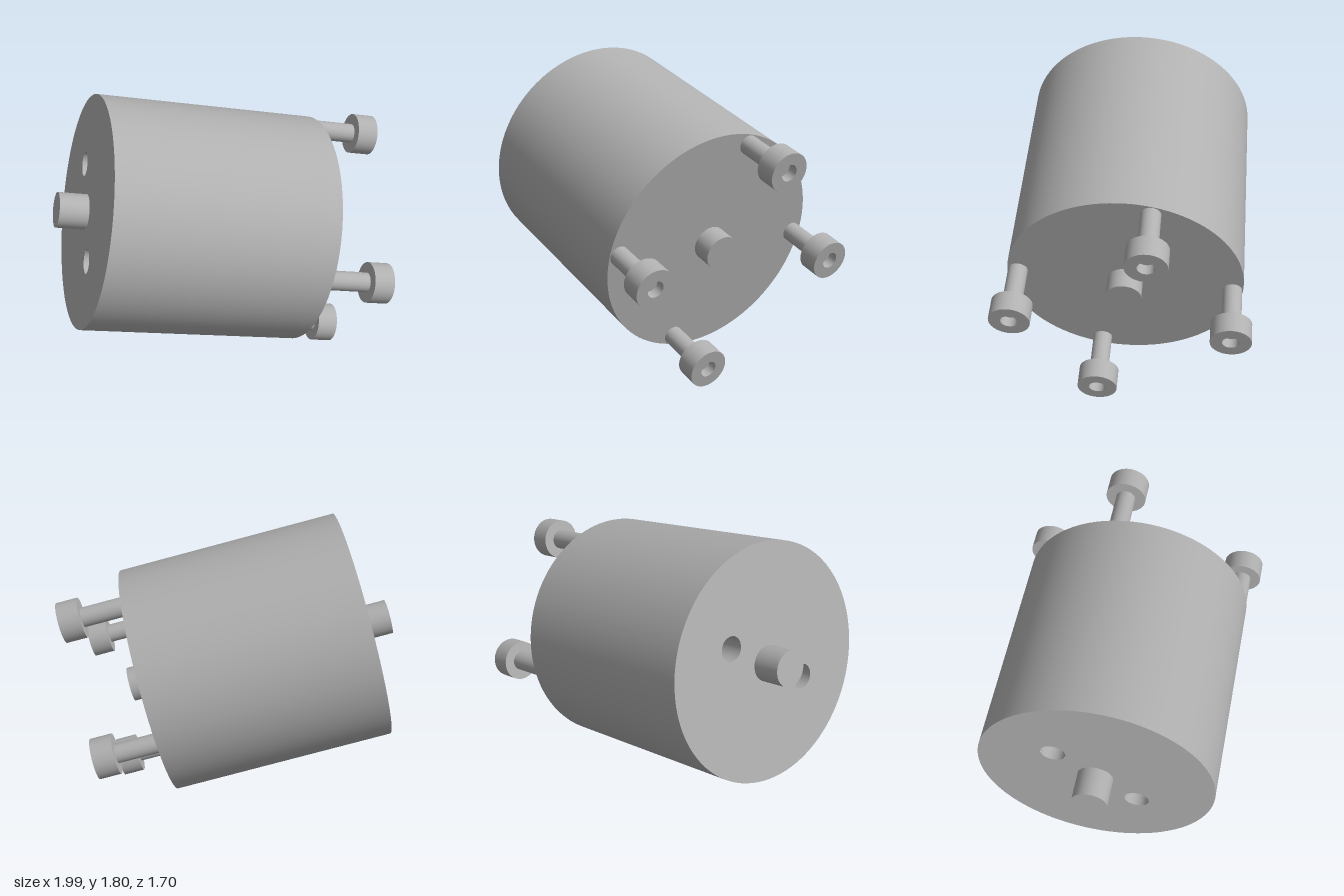
import * as THREE from 'three';
import { mergeGeometries } from 'three/addons/utils/BufferGeometryUtils.js';

// Turned solid about the y axis; every profile segment keeps sharp ends.
function turned(profile, sides = 48) {
  const parts = [];
  for (let i = 0; i + 1 < profile.length; i++) {
    const pair = [profile[i], profile[i + 1]].map(([r, y]) => new THREE.Vector2(r, y));
    parts.push(new THREE.LatheGeometry(pair, sides));
  }
  return mergeGeometries(parts);
}

export function createModel() {
  const model = new THREE.Group();
  model.name = 'motor';
  const grey = new THREE.MeshStandardMaterial({ color: 0xb0b0b0 });
  grey.name = 'plain grey';

  const R = 0.697, L = 1.343;        // body radius and length
  const holeR = 0.073, holeX = 0.31; // rear holes
  const tilted = new THREE.Group();
  tilted.name = 'tiltedAssembly';
  model.add(tilted);

  const add = (name, geometry, x = 0, y = 0, z = 0) => {
    const mesh = new THREE.Mesh(geometry, grey);
    mesh.name = name;
    mesh.position.set(x, y, z);
    tilted.add(mesh);
  };

  // Body: side wall and flat front end (y = 0 is the bolted end)
  add('body', turned([[R, -L], [R, 0], [0, 0]], 96));

  // Rear end plate with two blind holes
  const plate = new THREE.Shape().absarc(0, 0, R, 0, Math.PI * 2);
  for (const s of [-1, 1]) {
    plate.holes.push(new THREE.Path().absarc(s * holeX, 0, holeR, 0, Math.PI * 2, true));
    add('rearHole', turned([[0, 0.25], [holeR, 0.25], [holeR, 0]], 48), s * holeX, -L, 0);
  }
  add('rearFace', new THREE.ShapeGeometry(plate, 48).rotateX(Math.PI / 2));
  tilted.children.at(-1).position.y = -L;

  // Central shaft stubs at both ends
  const stub = (y0, y1) => turned([[0, y0], [0.105, y0], [0.105, y1], [0, y1]]);
  add('frontShaft', stub(-0.01, 0.125));
  add('rearShaft', stub(-L - 0.175, -L + 0.01));

  // Four socket-head screws
  const screw = turned([
    [0, -0.02], [0.058, -0.02], [0.058, 0.243], [0.12, 0.243], [0.12, 0.37],
    [0.05, 0.37], [0.05, 0.31], [0, 0.31],
  ]);
  for (const deg of [40, 140, 220, 320]) {
    const a = THREE.MathUtils.degToRad(deg);
    add('screw', screw, 0.634 * Math.cos(a), 0, 0.634 * Math.sin(a));
  }

  // Tilt the axis and place the bolted end
  const axis = new THREE.Vector3(0.957, -0.239, -0.161).normalize();
  const across = new THREE.Vector3(0, -0.566, 0.8245);
  across.addScaledVector(axis, -across.dot(axis)).normalize();
  const third = new THREE.Vector3().crossVectors(across, axis);
  tilted.quaternion.setFromRotationMatrix(new THREE.Matrix4().makeBasis(across, axis, third));
  tilted.position.set(0.488, 0.8, -0.057);
  return model;
}
